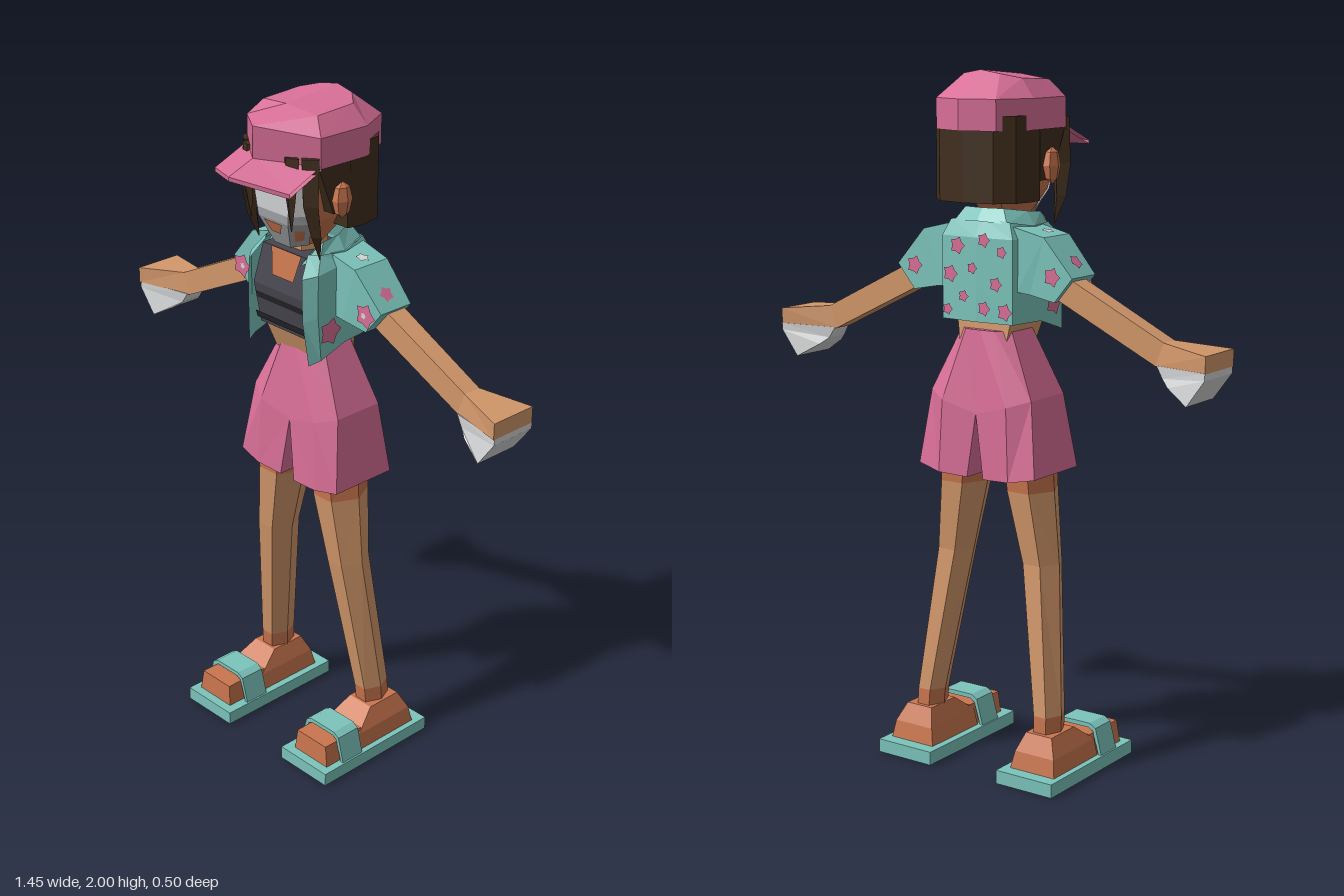
import * as THREE from 'three';

const mat = (name, color) => {
  const m = new THREE.MeshStandardMaterial({ color, flatShading: true, side: THREE.DoubleSide });
  m.name = name;
  return m;
};

// Flat-faced skin through rings of points; closed rings are capped and wound outwards.
function loft(rings, closed = true) {
  const tris = [], n = rings[0].length;
  for (let r = 0; r < rings.length - 1; r++) {
    for (let i = 0; i < (closed ? n : n - 1); i++) {
      const j = (i + 1) % n, [a, b] = [rings[r], rings[r + 1]];
      tris.push([a[i], a[j], b[j]], [a[i], b[j], b[i]]);
    }
  }
  if (closed) {
    const first = rings[0], last = rings[rings.length - 1];
    for (let i = 1; i < n - 1; i++) {
      tris.push([first[0], first[i + 1], first[i]], [last[0], last[i], last[i + 1]]);
    }
    const v = (p) => new THREE.Vector3(...p);
    let volume = 0;
    for (const [a, b, c] of tris) volume += v(a).dot(v(b).cross(v(c)));
    if (volume < 0) tris.forEach((t) => t.reverse());
  }
  const g = new THREE.BufferGeometry();
  g.setAttribute('position', new THREE.Float32BufferAttribute(tris.flat(2), 3));
  g.computeVertexNormals();
  return g;
}

// Half outline mirrored across x = 0
const sym = (half) => [...half, ...half.filter((p) => p[0] !== 0).reverse().map(([x, y, z]) => [-x, y, z])];
const flip = (rings, s) => rings.map((r) => r.map(([x, y, z]) => [x * s, y, z]));
const rect = (x0, x1, y, z0, z1) => [[x0, y, z0], [x1, y, z0], [x1, y, z1], [x0, y, z1]];
const hex = (cx, y, cz, rx, rz) => [[1, 0], [0.5, 1], [-0.5, 1], [-1, 0], [-0.5, -1], [0.5, -1]]
  .map(([a, b]) => [cx + a * rx, y, cz + b * rz]);

export function createModel() {
  const root = new THREE.Group();
  root.name = 'girl';
  const pink = mat('pink', 0xd96f97), teal = mat('teal', 0x7cc4bc), skin = mat('skin', 0xd2976a);
  const tan = mat('deepSkin', 0xc8754e), brown = mat('hairBrown', 0x402e1d), slate = mat('slate', 0x47464f);
  const black = mat('black', 0x24242a), white = mat('white', 0xd6d7d8), grey = mat('grey', 0xa3a5a8);

  const add = (name, geometry, material) => {
    const m = new THREE.Mesh(geometry, material);
    m.name = name;
    root.add(m);
    return m;
  };
  // Ragged flat blossom lying on a surface that faces n
  const blossom = (name, material, p, n, r) => {
    const pts = Array.from({ length: 10 }, (_, i) => {
      const a = i * Math.PI / 5, k = r * (i % 2 ? 0.68 : 1);
      return new THREE.Vector2(Math.cos(a) * k, Math.sin(a) * k);
    });
    const m = add(name, new THREE.ShapeGeometry(new THREE.Shape(pts)), material);
    m.position.set(...p);
    m.quaternion.setFromUnitVectors(new THREE.Vector3(0, 0, 1), new THREE.Vector3(...n).normalize());
  };

  // Cap: band, crown and peak
  const capRing = (y, yf) => sym([[0, yf, 0.165], [0.145, y, 0.055], [0.15, y, -0.11], [0.1, y, -0.215], [0, y, -0.25]]);
  add('cap', loft([
    capRing(1.84, 1.86), capRing(1.925, 1.95),
    sym([[0, 1.985, 0.045], [0.105, 1.972, 0.03], [0.105, 1.978, -0.1], [0.06, 1.99, -0.14], [0, 2, -0.145]]),
  ]), pink);
  const peak = (d) => [
    sym([[0, 1.865 - d, 0.155], [0.145, 1.85 - d, 0.05]]),
    sym([[0, 1.83 - d, 0.25], [0.147, 1.80 - d, 0.17]]),
  ];
  add('capPeak', loft([peak(0)[0], peak(0)[1], peak(0.012)[1], peak(0.012)[0]], true), pink);

  // Head and face
  const headRing = (y, w, f, b) => sym([[w * 0.6, y, f], [w, y, f - 0.05], [w, y, b + 0.04], [w * 0.6, y, b]]);
  add('head', loft([headRing(1.59, 0.05, 0.055, -0.08), headRing(1.67, 0.095, 0.09, -0.14),
    headRing(1.8, 0.12, 0.1, -0.18), headRing(1.87, 0.12, 0.09, -0.18)]), tan);
  const facePlate = (w, e) => [[w * 0.6, 0, e], [w, 0, e - 0.05], [-w, 0, e - 0.05], [-w * 0.6, 0, e]];
  const faceStrip = (rows) => loft(rows.map(([y, w, f]) => {
    const p = facePlate(w + 0.003, f + 0.004).map(([x, , z]) => [x, y, z]);
    return [p[1], p[0], p[3], p[2]];
  }), false);
  add('lowerFace', faceStrip([[1.59, 0.05, 0.055], [1.67, 0.095, 0.09], [1.695, 0.1, 0.092]]), grey);
  add('upperFace', faceStrip([[1.695, 0.1, 0.092], [1.8, 0.12, 0.1], [1.84, 0.12, 0.095]]), white);
  add('mouth', loft([[[-0.035, 1.665, 0.095], [0.035, 1.665, 0.095]], [[-0.018, 1.632, 0.082], [0.018, 1.632, 0.082]]], false), tan);
  add('neck', loft([hex(0, 1.44, -0.04, 0.045, 0.05), hex(0, 1.63, -0.04, 0.045, 0.05)]), skin);

  // Hair: bob at the back, side panels and pointed strands
  const bob = (y) => sym([[0.135, y, -0.055], [0.145, y, -0.1], [0.135, y, -0.17], [0.09, y, -0.215], [0, y, -0.23]]);
  add('backHair', loft([bob(1.645), bob(1.88)]), brown);
  const strand = (name, path, d) => add(name, loft(path.map(([x, y, z, w]) =>
    [[x - w, y, z], [x, y, z + w * d], [x + w, y, z], [x, y, z - w * d]])), brown);
  strand('centreFringe', [[0, 1.87, 0.105, 0.045], [0, 1.82, 0.115, 0.03], [0.005, 1.765, 0.112, 0.002]], 0.3);
  for (const s of [1, -1]) {
    strand('longStrand', [[s * 0.115, 1.87, 0.065, 0.035], [s * 0.122, 1.74, 0.07, 0.03], [s * 0.128, 1.65, 0.055, 0.02], [s * 0.122, 1.575, 0.035, 0.002]], 0.9);
    strand('fringeStrand', [[s * 0.075, 1.87, 0.1, 0.035], [s * 0.085, 1.76, 0.108, 0.02], [s * 0.08, 1.66, 0.1, 0.002]], 0.5);
    add('sideHair', loft([rect(s * 0.1, s * 0.138, 1.7, -0.06, 0.0), rect(s * 0.1, s * 0.14, 1.87, -0.06, 0.07)]), brown);
    const ear = add('ear', new THREE.SphereGeometry(1, 6, 4), tan);
    ear.scale.set(0.022, 0.052, 0.032);
    ear.position.set(s * 0.15, 1.74, -0.02);
  }

  // Torso and tank top
  const box = (y, w, f, b) => rect(-w, w, y, b, f);
  add('midriff', loft([box(1.25, 0.08, 0.01, -0.14), box(1.35, 0.098, 0.045, -0.13)]), skin);
  add('tankTop', loft([box(1.33, 0.1, 0.05, -0.13), box(1.45, 0.113, 0.065, -0.14), box(1.565, 0.1, 0.04, -0.12)]), slate);
  for (const y of [1.345, 1.405]) {
    add('tankStripe', loft([[[-0.104, y, 0.06], [0.104, y, 0.06]], [[-0.107, y + 0.02, 0.064], [0.107, y + 0.02, 0.064]]], false), black);
  }
  add('neckline', loft([[[-0.042, 1.49, 0.06], [0.042, 1.49, 0.06]], [[-0.06, 1.567, 0.045], [0.06, 1.567, 0.045]]], false), tan);

  // Open jacket and collar
  const jacketRing = (x, yf, y, f) => sym([[x, yf, f], [0.135, yf + 0.01, f - 0.035], [0.135, y, -0.05], [0.12, y, -0.165], [0, y, -0.172]]);
  add('jacket', loft([
    sym([[0.085, 1.58, 0.045], [0.11, 1.58, 0.02], [0.125, 1.575, -0.06], [0.1, 1.59, -0.15], [0, 1.6, -0.15]]),
    jacketRing(0.107, 1.525, 1.545, 0.088), jacketRing(0.11, 1.4, 1.42, 0.088), jacketRing(0.122, 1.27, 1.31, 0.076),
  ], false), teal);
  add('collar', loft([
    sym([[0.075, 1.55, 0.065], [0.11, 1.57, 0.02], [0.12, 1.575, -0.06], [0.09, 1.585, -0.15], [0, 1.59, -0.165]]),
    sym([[0.09, 1.59, 0.035], [0.098, 1.61, 0], [0.095, 1.615, -0.06], [0.065, 1.625, -0.13], [0, 1.625, -0.14]]),
  ], false), teal);
  const backSpots = [[-0.09, 1.51], [-0.03, 1.54], [0.06, 1.52], [0.01, 1.46], [-0.07, 1.42], [0.085, 1.44], [0.04, 1.38], [-0.03, 1.35], [-0.1, 1.345], [0.095, 1.34]];
  backSpots.forEach(([x, y], i) => blossom('backBlossom', pink, [x, y, -0.176], [0, 0, -1], 0.018 + (i % 3) * 0.004));

  // Shorts, upper part
  const hip = [[0, 1.05, 0.035], [0.11, 1.08, 0.045], [0.172, 1.1, 0.01], [0.172, 1.1, -0.15], [0.11, 1.08, -0.185], [0, 1.05, -0.175]];
  add('shorts', loft([
    sym([[0, 1.285, 0.015], [0.05, 1.285, 0.012], [0.085, 1.285, -0.02], [0.085, 1.285, -0.12], [0.05, 1.285, -0.152], [0, 1.285, -0.155]]),
    sym(hip)]), pink);

  for (const s of [1, -1]) {
    const side = (name, rings, material) => add(name, loft(flip(rings, s)), material);
    side('shortsLeg', [hip, [[0.028, 0.865, 0.045], [0.12, 0.87, 0.05], [0.2, 0.885, 0.04], [0.2, 0.885, -0.175], [0.12, 0.87, -0.19], [0.028, 0.865, -0.18]]], pink);

    // Sleeve, with blossoms, then arm and hand
    const slice = (xt, yt, xb, yb, z0, z1) => [[xt, yt, z0], [xt, yt, z1], [xb, yb, z1], [xb, yb, z0]];
    side('sleeve', [slice(0.1, 1.58, 0.12, 1.4, -0.145, -0.015), slice(0.205, 1.555, 0.16, 1.395, -0.14, -0.015),
      slice(0.298, 1.45, 0.24, 1.38, -0.14, -0.025)], teal);
    blossom('cuffBlossom', pink, [s * 0.25, 1.435, -0.012], [0, 0, 1], 0.038);
    blossom('cuffBlossomHeart', white, [s * 0.245, 1.435, -0.01], [0, 0, 1], 0.01);
    blossom('cuffBlossom', pink, [s * 0.235, 1.45, -0.145], [0, 0, -1], 0.028);
    blossom('sleeveBlossom', pink, [s * 0.268, 1.488, -0.075], [s * 0.105, 0.093, 0], 0.024);
    blossom('shoulderBlossom', white, [s * 0.175, 1.567, -0.075], [s * 0.025, 0.105, 0], 0.02);
    blossom('flapBlossom', pink, [s * 0.139, 1.36, 0.01], [s, 0, 0], 0.042);
    side('arm', [slice(0.2, 1.485, 0.18, 1.415, -0.125, -0.06), slice(0.575, 1.3, 0.55, 1.235, -0.12, -0.063),
      slice(0.726, 1.285, 0.726, 1.238, -0.163, -0.012)], skin);
    const grip = (x0, y0, x1, y1, a, b) => [[x0, y0, -0.09 - a], [x0, y0, -0.09 + a], [x1, y1, -0.09 + b], [x1, y1, -0.09 - b]];
    side('fingers', [grip(0.555, 1.237, 0.726, 1.24, 0.032, 0.074), grip(0.575, 1.205, 0.725, 1.22, 0.035, 0.074),
      grip(0.6, 1.185, 0.67, 1.145, 0.05, 0.072)], white);

    // Leg in three bands
    const thigh = hex(0.116, 0.83, -0.06, 0.074, 0.074), shin = hex(0.207, 0.19, -0.107, 0.042, 0.048);
    side('upperThigh', [hex(0.108, 0.95, -0.06, 0.075, 0.08), thigh], tan);
    side('leg', [thigh, hex(0.15, 0.62, -0.06, 0.058, 0.056), shin], skin);
    side('ankle', [shin, hex(0.21, 0.12, -0.112, 0.041, 0.047)], tan);

    // Foot and sandal
    side('heel', [rect(0.14, 0.29, 0.04, -0.205, 0.02), rect(0.15, 0.282, 0.09, -0.195, 0.015), rect(0.17, 0.258, 0.143, -0.17, -0.055)], tan);
    side('toes', [rect(0.148, 0.285, 0.04, 0, 0.152), rect(0.155, 0.275, 0.105, 0, 0.148)], tan);
    side('sole', [rect(0.118, 0.308, 0, -0.245, 0.18), rect(0.118, 0.308, 0.04, -0.245, 0.18)], teal);
    const arch = [[0.122, 0.035], [0.145, 0.118], [0.165, 0.13], [0.262, 0.13], [0.282, 0.118], [0.304, 0.035],
      [0.294, 0.035], [0.273, 0.108], [0.258, 0.117], [0.169, 0.117], [0.154, 0.108], [0.132, 0.035]];
    const strap = new THREE.Shape(arch.map(([x, y]) => new THREE.Vector2(x * s, y)));
    add('strap', new THREE.ExtrudeGeometry(strap, { depth: 0.08, bevelEnabled: false }), teal).position.z = 0.022;
  }
  return root;
}
